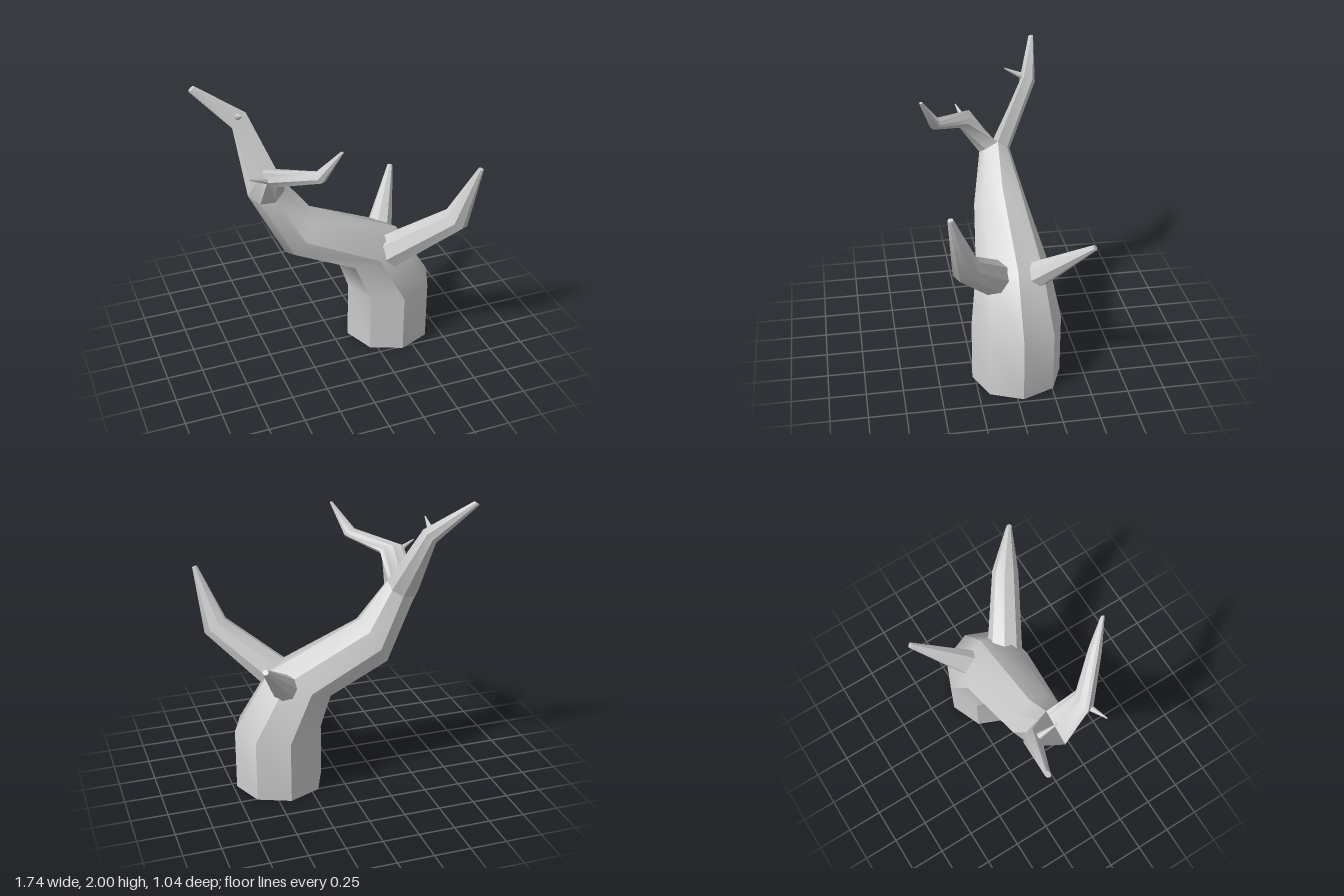
import * as THREE from 'three';

const V = (x, y, z) => new THREE.Vector3(x, y, z);
const SIDES = 8;
const NONE = V(0, 0, 0);

// Eight-point section: a and b are opposite corners, front and back are the bulges either side of them.
function section(a, b, front, back) {
  const mid = a.clone().add(b).multiplyScalar(0.5);
  const half = a.clone().sub(b).multiplyScalar(0.5);
  return Array.from({ length: SIDES }, (_, i) => {
    const t = (i / SIDES) * Math.PI * 2, s = Math.sin(t);
    return mid.clone().addScaledVector(half, Math.cos(t)).addScaledVector(s >= 0 ? front : back, Math.abs(s));
  });
}

// Regular octagonal section square to a direction.
function roundSection(c, dir, r) {
  const d = dir.clone().normalize();
  const u = V(0, 1, 0).cross(d).normalize().multiplyScalar(r);
  const v = u.clone().cross(d);
  return section(c.clone().add(u), c.clone().sub(u), v, v.clone().negate());
}

// Skin over sections: smooth along the length, sharp between strips.
const SHARP = Array.from({ length: SIDES }, (_, i) => [i, i + 1]);
const SOFT_FRONT = [[0, 1, 2], ...SHARP.slice(2)];

function loft(name, sections, strips = SHARP) {
  const pos = [], idx = [];
  const put = (p) => pos.push(p.x, p.y, p.z);
  for (const strip of strips) {
    const base = pos.length / 3, n = strip.length;
    sections.forEach((s) => strip.forEach((i) => put(s[i % SIDES])));
    for (let k = 0; k < sections.length - 1; k++) {
      for (let j = 0; j < n - 1; j++) {
        const a = base + k * n + j, b = a + n;
        idx.push(a, b, b + 1, a, b + 1, a + 1);
      }
    }
  }
  // end caps
  [sections[0], sections[sections.length - 1]].forEach((s, end) => {
    const base = pos.length / 3;
    s.forEach(put);
    for (let i = 1; i < SIDES - 1; i++) {
      idx.push(base, base + (end ? i + 1 : i), base + (end ? i : i + 1));
    }
  });
  const g = new THREE.BufferGeometry();
  g.setAttribute('position', new THREE.Float32BufferAttribute(pos, 3));
  g.setIndex(idx);
  g.computeVertexNormals();
  const mesh = new THREE.Mesh(g, new THREE.MeshStandardMaterial({ color: 0xcccccc }));
  mesh.name = name;
  return mesh;
}

// Tapered round limb through a list of [centre, radius].
function limb(name, stops) {
  return loft(name, stops.map(([c, r], i) => {
    const dir = V(0, 0, 0);
    if (i > 0) dir.add(c.clone().sub(stops[i - 1][0]).normalize());
    if (i < stops.length - 1) dir.add(stops[i + 1][0].clone().sub(c).normalize());
    return roundSection(c, dir, r);
  }));
}

export function createModel() {
  const tree = new THREE.Group();
  tree.name = 'bareTree';

  // Fork crease shared by the trunk and both upper branches
  const Z = -0.04;
  const forkRight = V(-0.6, 1.31, Z), forkLeft = V(-0.37, 1.4, Z);
  const forkFront = V(0.035, -0.06, 0.12), forkBack = V(0.035, -0.05, -0.095);

  // Leaning trunk: [outer x, y, inner x, y, half depth]
  const trunk = [
    [0.725, 0, 0.11, 0, 0.307],
    [0.725, 0.43, 0.11, 0.43, 0.307],
    [0.47, 0.845, 0.03, 0.66, 0.25],
    [-0.17, 1.14, -0.355, 0.82, 0.187],
  ].map(([ox, oy, ix, iy, d]) => section(V(ox, oy, Z), V(ix, iy, Z), V(0, 0, d), V(0, 0, -d)));
  trunk.push(section(forkLeft, forkRight, forkFront, forkBack));
  tree.add(loft('trunk', trunk, SOFT_FRONT));

  // Upper branch rising to the back
  tree.add(loft('upperBackBranch', [
    section(forkRight, forkLeft, forkBack, NONE),
    section(V(-0.63, 1.72, -0.235), V(-0.53, 1.81, -0.25), V(0.02, -0.01, -0.09), V(0, 0, 0.01)),
    section(V(-0.875, 1.97, -0.35), V(-0.835, 2, -0.355), V(0, 0, -0.02), V(0, 0, 0.015)),
  ]));

  // Upper branch reaching forward
  tree.add(loft('upperFrontBranch', [
    section(forkLeft, forkRight, forkFront, NONE),
    section(V(-0.39, 1.54, 0.165), V(-0.555, 1.57, 0.15), V(-0.01, -0.06, 0.07), V(0, 0.025, -0.02)),
    section(V(-0.205, 1.61, 0.38), V(-0.285, 1.645, 0.395), V(-0.01, -0.04, 0.05), V(0, 0.01, -0.015)),
    section(V(-0.138, 1.815, 0.5), V(-0.158, 1.82, 0.505), V(0, 0, 0.015), V(0, 0, -0.01)),
  ]));

  // Lower branches on the shoulder of the trunk
  tree.add(limb('lowerFrontBranch', [
    [V(0.36, 0.74, 0.09), 0.125],
    [V(0.748, 1.07, 0.34), 0.092],
    [V(0.85, 1.477, 0.44), 0.018],
  ]));
  tree.add(limb('lowerBackBranch', [
    [V(0.38, 0.745, -0.15), 0.1],
    [V(0.62, 1.07, -0.51), 0.02],
  ]));

  // Thin twigs
  tree.add(limb('backTwig', [
    [V(-0.585, 1.785, -0.26), 0.025],
    [V(-0.595, 1.853, -0.12), 0.004],
  ]));
  tree.add(limb('frontTwig', [
    [V(-0.53, 1.525, 0.18), 0.022],
    [V(-0.66, 1.58, 0.22), 0.004],
  ]));
  return tree;
}
